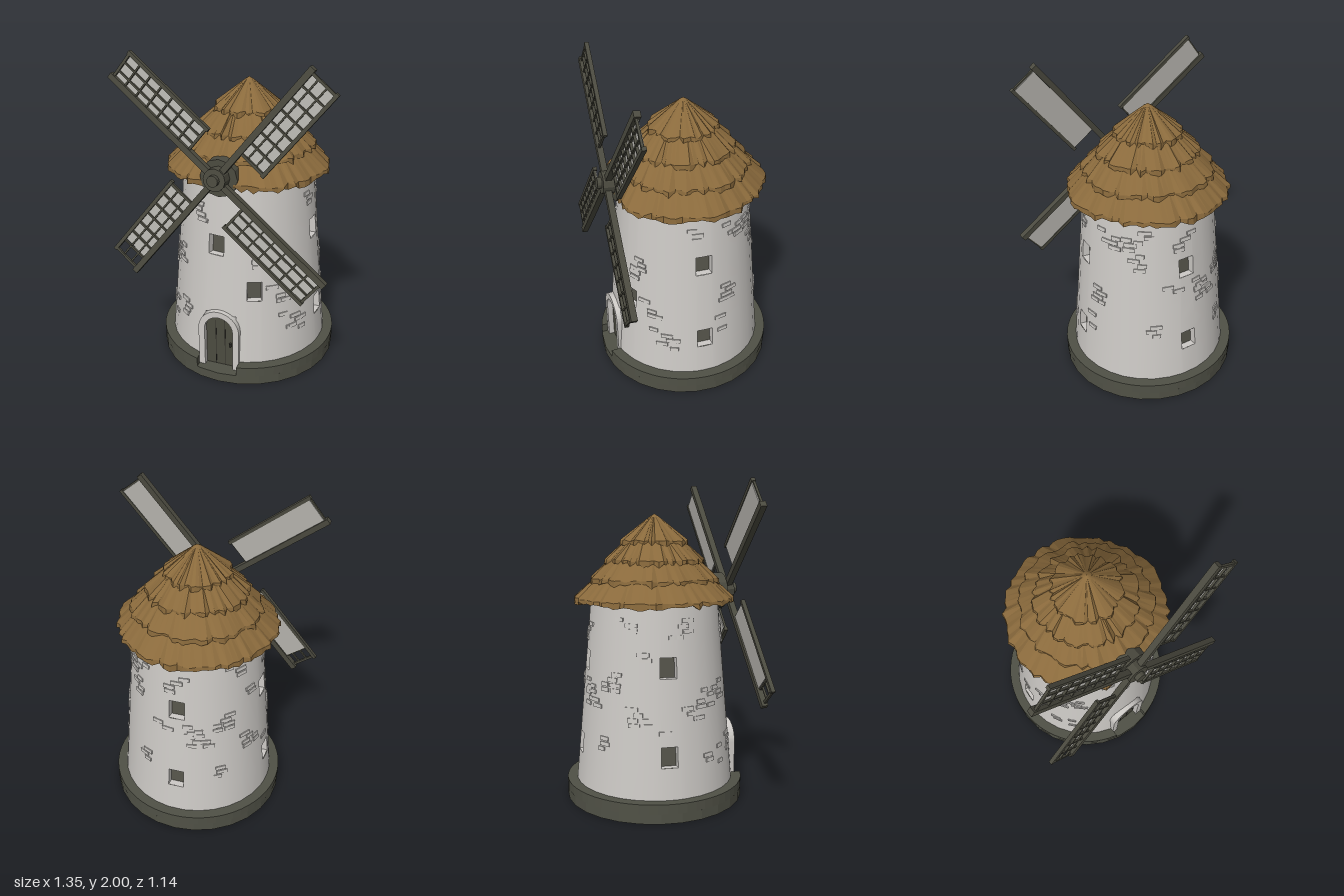
import * as THREE from 'three';
import { mergeGeometries, toCreasedNormals } from 'three/addons/utils/BufferGeometryUtils.js';

const mat = (name, color, extra = {}) => Object.assign(new THREE.MeshStandardMaterial({ color, ...extra }), { name });

let seed = 7;
const rand = () => (seed = (seed * 16807) % 2147483647) / 2147483647;
const jitter = (a) => (rand() - 0.5) * 2 * a;

function mesh(name, geometry, material, parent, x = 0, y = 0, z = 0) {
  const m = new THREE.Mesh(geometry, material);
  m.name = name;
  m.position.set(x, y, z);
  parent.add(m);
  return m;
}

function flat(geometry) {
  const g = geometry.index ? geometry.toNonIndexed() : geometry;
  g.computeVertexNormals();
  return g;
}

// Tower wall radius at height y, and a point on it (angle 0 is the front)
const wallRadius = (y) => 0.505 - 0.0885 * (y - 0.12);
const wallPoint = (a, y, depth = 0) => {
  const r = wallRadius(y) - depth;
  return [r * Math.sin(a), y, r * Math.cos(a)];
};

function quads(list) {
  const pos = [];
  for (const [a, b, c, d] of list) pos.push(...a, ...b, ...c, ...a, ...c, ...d);
  const g = new THREE.BufferGeometry();
  g.setAttribute('position', new THREE.Float32BufferAttribute(pos, 3));
  g.computeVertexNormals();
  return g;
}

// Window and door openings
const opening = (deg, y, w = 0.1, h = 0.125) => {
  const a = THREE.MathUtils.degToRad(deg), half = w / 2 / wallRadius(y);
  return { a0: a - half, a1: a + half, y0: y - h / 2, y1: y + h / 2 };
};
const windows = [opening(-7, 0.88), opening(23.7, 0.6, 0.09)];
for (const deg of [85, 179, 264]) windows.push(opening(deg, 0.905), opening(deg, 0.375));
const doorway = opening(-2.3, 0.24, 0.21, 0.38);

function wallGeometry() {
  const holes = [...windows, doorway];
  const angles = [], heights = [0.05, 0.3, 0.5, 0.72, 1.1, 1.31];
  for (let i = 0; i <= 32; i++) angles.push(-0.5 + (i / 32) * Math.PI * 2);
  for (const h of holes) { angles.push(h.a0, h.a1); heights.push(h.y0, h.y1); }
  const tidy = (l) => l.sort((p, q) => p - q).filter((v, i) => !i || v - l[i - 1] > 1e-6);
  const A = tidy(angles), Y = tidy(heights), list = [];
  for (let i = 0; i < A.length - 1; i++) for (let j = 0; j < Y.length - 1; j++) {
    const am = (A[i] + A[i + 1]) / 2, ym = (Y[j] + Y[j + 1]) / 2;
    if (holes.some((h) => am > h.a0 && am < h.a1 && ym > h.y0 && ym < h.y1)) continue;
    list.push([wallPoint(A[i], Y[j]), wallPoint(A[i + 1], Y[j]), wallPoint(A[i + 1], Y[j + 1]), wallPoint(A[i], Y[j + 1])]);
  }
  // Reveals inside the windows
  for (const h of windows) {
    const c = [[h.a0, h.y0], [h.a1, h.y0], [h.a1, h.y1], [h.a0, h.y1]];
    c.forEach((p, i) => {
      const q = c[(i + 1) % 4];
      list.push([wallPoint(...p), wallPoint(...p, 0.045), wallPoint(...q, 0.045), wallPoint(...q)].reverse());
    });
  }
  return toCreasedNormals(quads(list), 0.6);
}

// Patches of bricks standing slightly proud of the plaster
function brickGeometry() {
  const parts = [], blocked = [...windows, doorway];
  for (let c = 0; c < 34; c++) {
    const a0 = (c * 2.4) % (Math.PI * 2), y0 = 0.18 + 0.98 * rand();
    const count = 3 + Math.floor(rand() * 4);
    for (let k = 0; k < count; k++) {
      const y = Math.min(1.2, y0 + (k % 4) * 0.032), a = a0 + jitter(0.14);
      const hit = blocked.some((h) => {
        const d = Math.atan2(Math.sin(a - (h.a0 + h.a1) / 2), Math.cos(a - (h.a0 + h.a1) / 2));
        return Math.abs(d) < (h.a1 - h.a0) / 2 + 0.13 && y > h.y0 - 0.04 && y < h.y1 + 0.06;
      });
      if (hit) continue;
      const g = new THREE.BoxGeometry(0.05 + 0.03 * rand(), 0.024, 0.02);
      g.rotateX(-0.088).rotateY(a).translate(...wallPoint(a, y, 0.005));
      parts.push(g);
    }
  }
  return mergeGeometries(parts);
}

function archShape(width, height, Type = THREE.Shape) {
  const r = width / 2, s = new Type();
  s.moveTo(-r, 0);
  s.lineTo(r, 0);
  s.lineTo(r, height - r);
  s.absarc(0, height - r, r, 0, Math.PI, false);
  s.closePath();
  return s;
}

// One tier of thatch with a ragged lower edge
function thatchTier(r, y, topR, topY) {
  const n = Math.round(40 + r * 90);
  const profile = [[r - 0.13, y + 0.04], [r - 0.035, y + 0.006], [r, y], [r - 0.004, y + 0.028], [topR, topY]];
  const g = new THREE.LatheGeometry(profile.map((p) => new THREE.Vector2(...p)), n);
  const rag = Array.from({ length: n }, () => [jitter(0.016), jitter(0.015), jitter(0.006)]);
  const p = g.attributes.position;
  for (let i = 0; i < p.count; i++) {
    const j = i % 5, [dr, dy, up] = rag[Math.floor(i / 5) % n];
    const rad = Math.hypot(p.getX(i), p.getZ(i));
    if (j > 0 && j < 4 && rad > 0) {
      const s = (rad + dr) / rad;
      p.setXYZ(i, p.getX(i) * s, p.getY(i) + (j === 3 ? up : dy), p.getZ(i) * s);
    }
    // Eaves are trimmed behind the sails
    p.setZ(i, Math.min(p.getZ(i), 0.445 + dr * 0.5));
  }
  return flat(g);
}

export function createModel() {
  const model = new THREE.Group();
  model.name = 'windmill';
  const plaster = mat('white plaster', 0xcdcac6, { side: THREE.DoubleSide });
  const stone = mat('dark stone', 0x505146);
  const wood = mat('dark wood', 0x4c4b40);
  const glass = mat('window shadow', 0x55544a, { side: THREE.DoubleSide });
  const thatch = mat('thatch', 0x8a6a3c, { side: THREE.DoubleSide });
  const cloth = mat('sail cloth', 0xbab8b2);
  const iron = mat('dark iron', 0x2f2e29);

  const tower = new THREE.Group();
  tower.name = 'tower';
  tower.position.x = 0.028;
  model.add(tower);

  // Stone base with a notch cut in front of the door
  const R = 0.567;
  mesh('baseSlab', flat(new THREE.CylinderGeometry(R, R, 0.06, 28)), stone, tower, 0, 0.03);
  const ring = new THREE.Shape();
  ring.absarc(0, 0, R, -Math.PI / 2 + 0.2, Math.PI * 1.5 - 0.27, false);
  ring.lineTo(-0.155, -0.4);
  ring.lineTo(0.112, -0.4);
  ring.closePath();
  const rim = new THREE.ExtrudeGeometry(ring, { depth: 0.06, bevelEnabled: false, curveSegments: 28 });
  mesh('baseRim', rim.rotateX(-Math.PI / 2), stone, tower, 0, 0.06);

  // Walls, bricks and windows
  mesh('wall', wallGeometry(), plaster, tower);
  mesh('bricks', brickGeometry(), plaster, tower);
  const panes = windows.map((h) => [wallPoint(h.a0, h.y0, 0.043), wallPoint(h.a1, h.y0, 0.043), wallPoint(h.a1, h.y1, 0.043), wallPoint(h.a0, h.y1, 0.043)]);
  mesh('windowPanes', quads(panes), glass, tower);

  // Arched door
  const door = new THREE.Group();
  door.name = 'door';
  door.position.set(-0.021, 0.055, 0);
  tower.add(door);
  const surround = archShape(0.265, 0.405);
  surround.holes.push(archShape(0.185, 0.365, THREE.Path));
  mesh('doorSurround', new THREE.ExtrudeGeometry(surround, { depth: 0.1, bevelEnabled: false, curveSegments: 10 }), plaster, door, 0, 0, 0.405);
  mesh('doorPanel', new THREE.ExtrudeGeometry(archShape(0.19, 0.367), { depth: 0.02, bevelEnabled: false, curveSegments: 10 }), wood, door, 0, 0, 0.45);
  for (const x of [-0.03, 0.03]) mesh('doorGroove', new THREE.BoxGeometry(0.004, 0.32, 0.004), iron, door, x, 0.165, 0.47);
  mesh('doorHandle', new THREE.BoxGeometry(0.012, 0.025, 0.02), iron, door, 0.068, 0.165, 0.476);

  // Thatched roof
  const tiers = [[0.497, 1.262, 0.35, 1.43], [0.4, 1.38, 0.27, 1.535], [0.305, 1.495, 0.17, 1.65], [0.205, 1.61, 0.022, 1.79]];
  for (const t of tiers) mesh('thatchTier', thatchTier(...t), thatch, tower);
  mesh('roofTip', flat(new THREE.ConeGeometry(0.026, 0.016, 12)), thatch, tower, 0, 1.795);

  // Axle housing under the eaves
  const housing = new THREE.CylinderGeometry(0.115, 0.115, 0.12, 12).rotateX(Math.PI / 2);
  mesh('axleHousing', flat(housing), wood, model, 0, 1.315, 0.385);

  // Hub and sails, on an axle leaning slightly upward
  const rotor = new THREE.Group();
  rotor.name = 'rotor';
  rotor.position.set(0, 1.325, 0.48);
  rotor.rotation.set(-0.085, -0.035, 0);
  model.add(rotor);
  const drum = (name, r, len, z) => mesh(name, flat(new THREE.CylinderGeometry(r, r, len, 12).rotateX(Math.PI / 2)), wood, rotor, 0, 0, z);
  drum('axle', 0.045, 0.12, -0.07);
  drum('hub', 0.068, 0.085, -0.01);
  drum('hubCap', 0.034, 0.03, 0.045);

  for (let k = 0; k < 4; k++) {
    const sail = new THREE.Group();
    sail.name = 'sail';
    sail.rotation.z = THREE.MathUtils.degToRad(51.5 - 90 + 90 * k);
    rotor.add(sail);
    const bar = (name, w, h, d, x, y, z = 0) => mesh(name, new THREE.BoxGeometry(w, h, d), wood, sail, x, y, z);
    bar('spar', 0.036, 0.85, 0.038, 0, 0.425);
    bar('outerRail', 0.022, 0.63, 0.026, 0.183, 0.525);
    for (const x of [0.058, 0.12]) bar('latticeBar', 0.01, 0.6, 0.012, x, 0.525, 0.004);
    for (let i = 0; i <= 7; i++) {
      const end = i === 0 || i === 7;
      bar('rung', 0.185, end ? 0.016 : 0.01, 0.014, 0.095, 0.225 + i * 0.086, 0.004);
    }
    // The lower left sail has lost the cloth of its last row
    const len = k === 2 ? 0.51 : 0.6;
    mesh('sailCloth', new THREE.BoxGeometry(0.165, len, 0.006), cloth, sail, 0.098, 0.225 + len / 2, -0.006);
  }
  return model;
}
